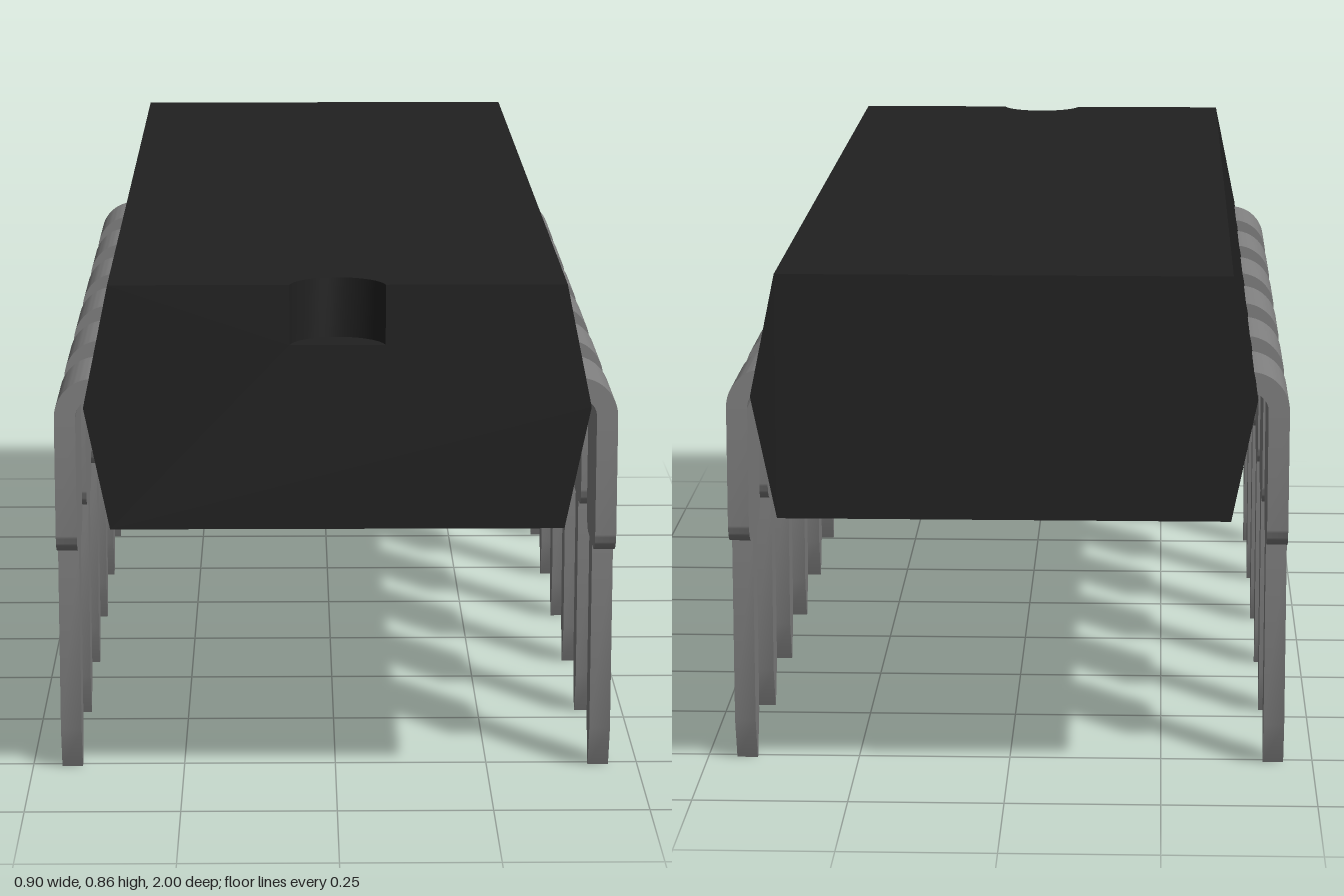
import * as THREE from 'three';
import { mergeGeometries, toCreasedNormals } from 'three/addons/utils/BufferGeometryUtils.js';

const TOP = 0.855, BOTTOM = 0.465, NOTCH_FLOOR = 0.76;
const bodyMat = new THREE.MeshStandardMaterial({ color: 0x202020 });
const pinMat = new THREE.MeshStandardMaterial({ color: 0x808080 });

const v2 = (list) => list.map(([x, y]) => new THREE.Vector2(x, y));
const face = (points) => new THREE.ShapeGeometry(new THREE.Shape(points));

// Wall swept from a polyline along one offset
function strip(points, offset) {
  const pos = [];
  for (let i = 0; i < points.length - 1; i++) {
    const a = points[i], b = points[i + 1];
    const c = b.clone().add(offset), d = a.clone().add(offset);
    for (const p of [a, b, c, a, c, d]) pos.push(p.x, p.y, p.z);
  }
  return new THREE.BufferGeometry().setAttribute('position', new THREE.Float32BufferAttribute(pos, 3));
}

function bodyGeometry() {
  // Hexagonal section, clockwise from the top right corner
  const section = v2([[0.357, TOP], [0.397, 0.66], [0.357, BOTTOM], [-0.357, BOTTOM], [-0.397, 0.66], [-0.357, TOP]]);

  // Notch arc from right to left, in plan (x, -z)
  const r = 0.076, cy = -1.013, a0 = Math.asin(0.013 / r), n = 18;
  const arc = [];
  for (let i = 0; i <= n; i++) {
    const a = a0 + (Math.PI - 2 * a0) * i / n;
    arc.push(new THREE.Vector2(r * Math.cos(a), cy + r * Math.sin(a)));
  }
  const w = arc[0].x;

  const parts = [
    // Sides and underside
    strip(section.map((p) => new THREE.Vector3(p.x, p.y, 1)), new THREE.Vector3(0, 0, -2)),
    // Front end with the notch opening, plain back end
    face([...section, ...v2([[-w, TOP], [-w, NOTCH_FLOOR], [w, NOTCH_FLOOR], [w, TOP]])]).translate(0, 0, 1),
    face(section).rotateY(Math.PI).translate(0, 0, -1),
    // Top, notch floor and notch wall
    face([...v2([[0.357, -1], [0.357, 1], [-0.357, 1], [-0.357, -1]]), ...arc.slice().reverse()])
      .rotateX(-Math.PI / 2).translate(0, TOP, 0),
    face(arc).rotateX(-Math.PI / 2).translate(0, NOTCH_FLOOR, 0),
    strip(arc.map((p) => new THREE.Vector3(p.x, TOP, -p.y)), new THREE.Vector3(0, NOTCH_FLOOR - TOP, 0)),
  ].map((g) => {
    const flat = g.index ? g.toNonIndexed() : g;
    flat.deleteAttribute('uv');
    flat.deleteAttribute('normal');
    return flat;
  });
  return toCreasedNormals(mergeGeometries(parts), 0.3);
}

// Flat blade: wide shoulder, narrow leg, pointed tip
function bladeGeometry() {
  const W = 0.0875, L = 0.03, low = 0.383, R = 0.036;
  const s = new THREE.Shape();
  s.moveTo(-0.003, 0);
  s.lineTo(0.003, 0);
  s.lineTo(L, 0.072);
  s.lineTo(L, low);
  s.lineTo(W - R, low);
  s.absarc(W - R, low + R, R, -Math.PI / 2, 0, false);
  s.lineTo(W, 0.61);
  s.lineTo(-W, 0.61);
  s.lineTo(-W, low + R);
  s.absarc(-W + R, low + R, R, Math.PI, Math.PI * 1.5, false);
  s.lineTo(-L, low);
  s.lineTo(-L, 0.072);
  const g = new THREE.ExtrudeGeometry(s, { depth: 0.034, bevelEnabled: false, curveSegments: 6 });
  return toCreasedNormals(g.rotateY(Math.PI / 2).translate(0.418, 0, 0), 0.4);
}

// Quarter bend that carries the blade into the body
function bendGeometry() {
  const s = new THREE.Shape();
  s.absarc(0.388, 0.61, 0.064, 0, Math.PI / 2, false);
  s.lineTo(0.37, 0.674);
  s.lineTo(0.37, 0.64);
  s.absarc(0.388, 0.61, 0.03, Math.PI / 2, 0, true);
  const g = new THREE.ExtrudeGeometry(s, { depth: 0.175, bevelEnabled: false, curveSegments: 10 });
  return toCreasedNormals(g.translate(0, 0, -0.0875), 0.4);
}

export function createModel() {
  const model = new THREE.Group();
  model.name = 'chipPackage';

  const body = new THREE.Mesh(bodyGeometry(), bodyMat);
  body.name = 'body';
  model.add(body);

  // Six pins on each side
  const blade = bladeGeometry(), bend = bendGeometry();
  for (const side of ['left', 'right']) {
    const row = new THREE.Group();
    row.name = side + 'PinRow';
    for (let i = 0; i < 6; i++) {
      const pin = new THREE.Group();
      pin.name = 'pin';
      const bladeMesh = new THREE.Mesh(blade, pinMat);
      bladeMesh.name = 'pinBlade';
      const bendMesh = new THREE.Mesh(bend, pinMat);
      bendMesh.name = 'pinBend';
      pin.add(bladeMesh, bendMesh);
      pin.position.z = (i - 2.5) * 0.304;
      row.add(pin);
    }
    if (side === 'right') row.rotation.y = Math.PI;
    model.add(row);
  }
  return model;
}
